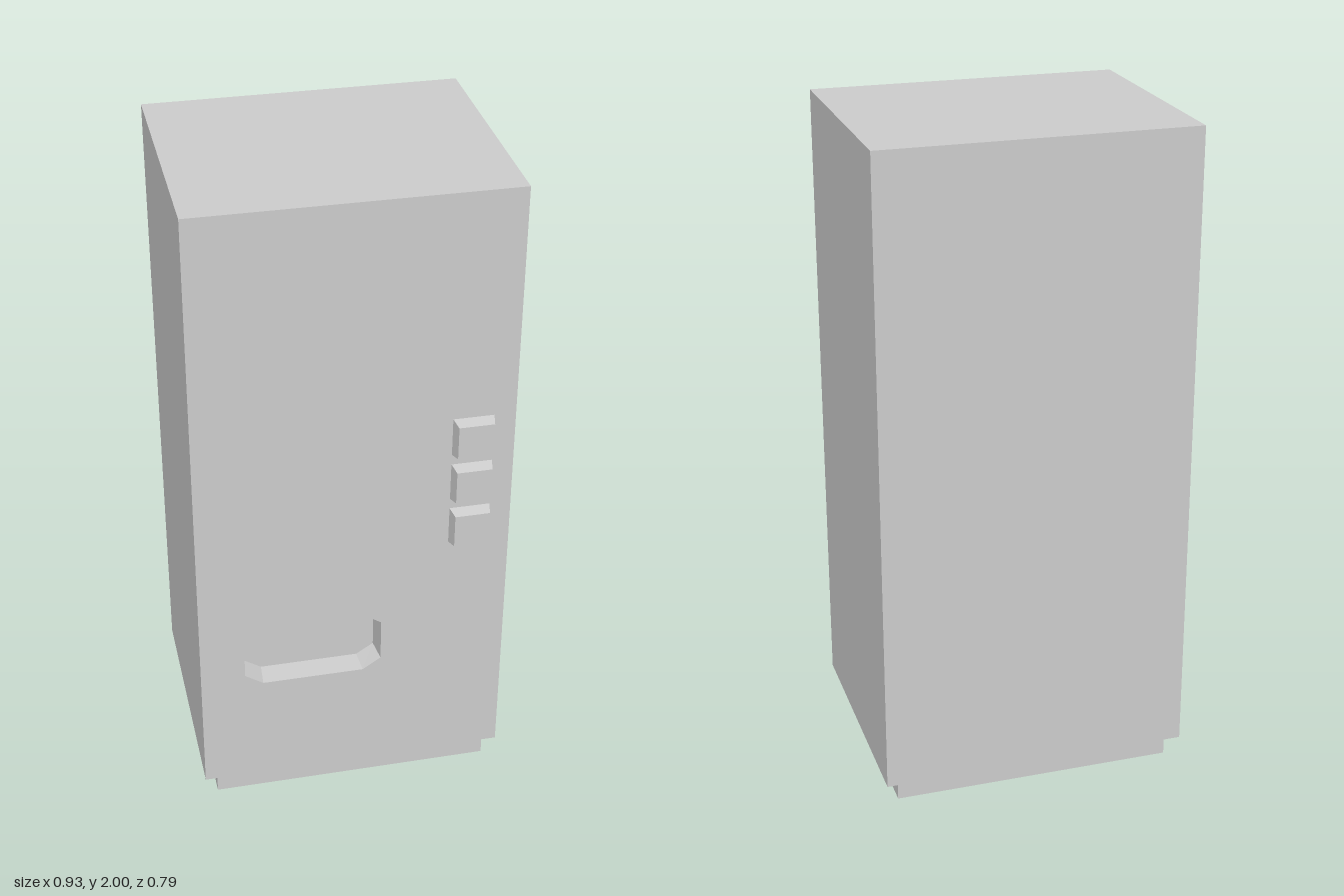
import * as THREE from 'three';

const W = 0.934, BACK = -0.395, FRONT = 0.357, BOTTOM = 0.068, TOP = 2;
const material = new THREE.MeshStandardMaterial({ color: 0xcccccc, flatShading: true });

function add(parent, name, geometry, x = 0, y = 0, z = 0) {
  const mesh = new THREE.Mesh(geometry, material);
  mesh.name = name;
  mesh.position.set(x, y, z);
  parent.add(mesh);
  return mesh;
}

// Rectangle with cut corners, counter-clockwise
function cutRectangle(cx, cy, w, h, cutX, cutY) {
  const a = w / 2, b = h / 2;
  return [
    [-a + cutX, -b], [a - cutX, -b], [a, -b + cutY], [a, b - cutY],
    [a - cutX, b], [-a + cutX, b], [-a, b - cutY], [-a, -b + cutY],
  ].map(([x, y]) => new THREE.Vector2(cx + x, cy + y));
}

// Inward-facing walls between an outer ring at z0 and an inner ring at z1
function recessWalls(outer, inner, z0, z1) {
  const positions = [];
  outer.forEach((a, i) => {
    const j = (i + 1) % outer.length, b = outer[j], c = inner[j], d = inner[i];
    positions.push(a.x, a.y, z0, b.x, b.y, z0, c.x, c.y, z1);
    positions.push(a.x, a.y, z0, c.x, c.y, z1, d.x, d.y, z1);
  });
  const geometry = new THREE.BufferGeometry();
  geometry.setAttribute('position', new THREE.Float32BufferAttribute(positions, 3));
  geometry.computeVertexNormals();
  return geometry;
}

// Box whose front face is smaller than its back
function taperedButton(size, frontSize, depth) {
  const geometry = new THREE.BoxGeometry(size, size, depth);
  const p = geometry.attributes.position;
  for (let i = 0; i < p.count; i++) {
    if (p.getZ(i) > 0) p.setXY(i, p.getX(i) * frontSize / size, p.getY(i) * frontSize / size);
  }
  geometry.computeVertexNormals();
  return geometry;
}

export function createModel() {
  const model = new THREE.Group();
  model.name = 'vendingMachine';

  // Plinth
  add(model, 'plinth', new THREE.BoxGeometry(0.856, BOTTOM, 0.703), 0, BOTTOM / 2, -0.0135);

  // Cabinet shell, with its front face left open for the panel
  const shell = new THREE.BoxGeometry(W, TOP - BOTTOM, FRONT - BACK);
  const index = Array.from(shell.index.array);
  index.splice(24, 6);
  shell.setIndex(index);
  shell.clearGroups();
  add(model, 'cabinet', shell, 0, (TOP + BOTTOM) / 2, (FRONT + BACK) / 2);

  // Front panel with the opening of the dispensing tray
  const outer = cutRectangle(-0.124, 0.533, 0.418, 0.21, 0.055, 0.037);
  const inner = cutRectangle(-0.124, 0.533, 0.402, 0.2, 0.052, 0.034);
  const panel = new THREE.Shape([
    new THREE.Vector2(-W / 2, BOTTOM), new THREE.Vector2(W / 2, BOTTOM),
    new THREE.Vector2(W / 2, TOP), new THREE.Vector2(-W / 2, TOP),
  ]);
  panel.holes.push(new THREE.Path(outer));
  add(model, 'frontPanel', new THREE.ShapeGeometry(panel), 0, 0, FRONT);

  // Dispensing tray recess
  const trayBack = FRONT - 0.07;
  add(model, 'trayWalls', recessWalls(outer, inner, FRONT, trayBack));
  add(model, 'trayBack', new THREE.ShapeGeometry(new THREE.Shape(inner)), 0, 0, trayBack);

  // Selection buttons
  const depth = 0.037;
  const buttons = new THREE.Group();
  buttons.name = 'buttons';
  model.add(buttons);
  for (let i = 0; i < 3; i++) {
    add(buttons, 'button', taperedButton(0.12, 0.104, depth), 0.343, 1.238 - i * 0.153, FRONT + depth / 2);
  }

  return model;
}
